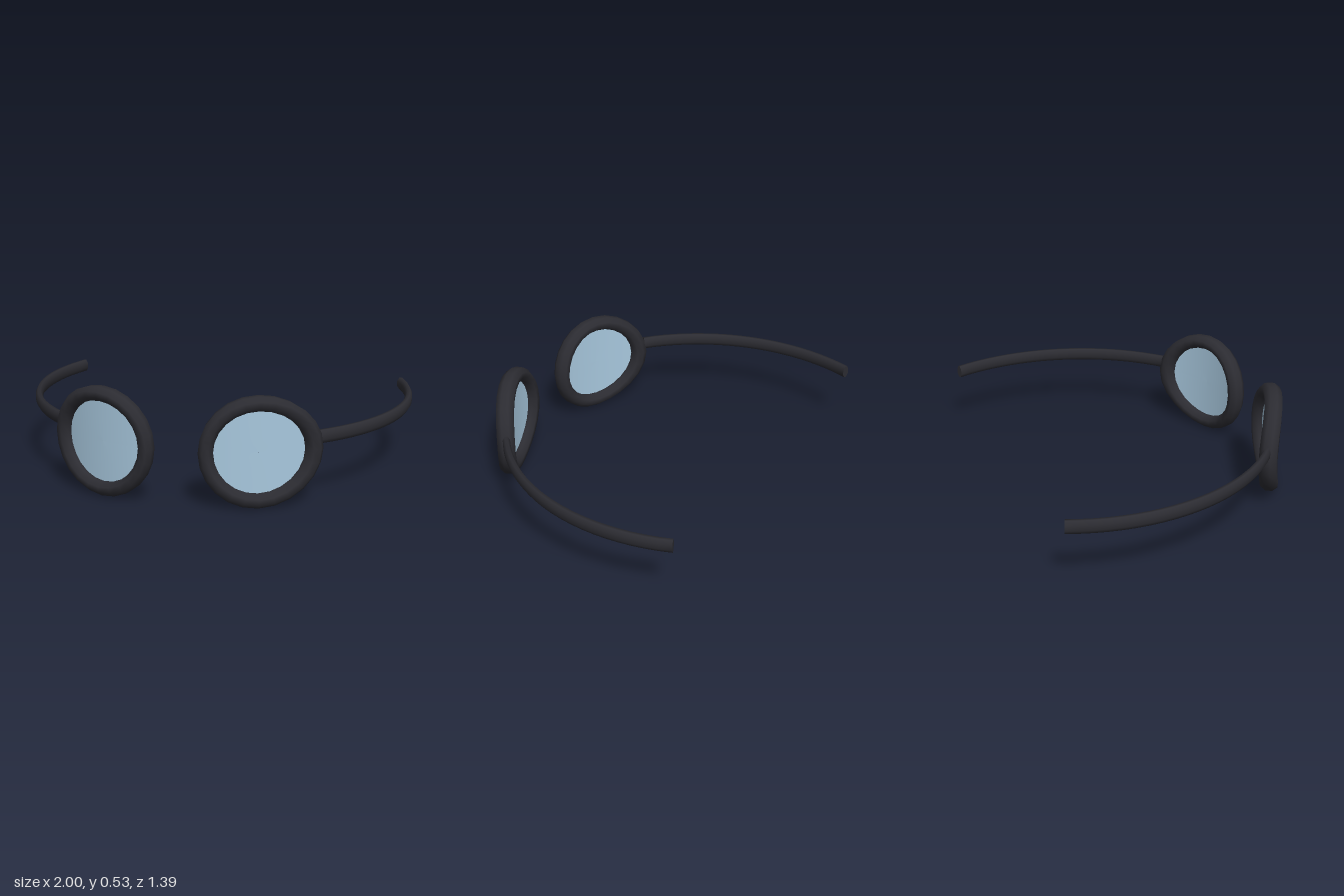
import * as THREE from 'three';

const R = 0.985;        // radius of the head curve that everything wraps around
const CENTRE_Z = -0.33; // centre of that curve
const SIDES = 8;        // sides of the tube sections

// Point on the head curve: angle from the front, height and distance from the axis
const wrap = (angle, y, r) => [r * Math.sin(angle), y, r * Math.cos(angle) + CENTRE_Z];

// Sweep an octagonal section; point(t, c, s) gives the surface at section cosine c and sine s
function sweep(point, steps, closed) {
  const pos = [], index = [];
  const rows = closed ? steps : steps + 1;
  const addRow = (i) => {
    for (let j = 0; j < SIDES; j++) {
      const b = ((j + 0.5) / SIDES) * Math.PI * 2;
      const k = 1 / Math.cos(Math.PI / SIDES);
      pos.push(...point(i / steps, k * Math.cos(b), k * Math.sin(b)));
    }
  };
  for (let i = 0; i < rows; i++) addRow(i);
  for (let i = 0; i < steps; i++) {
    const n = (i + 1) % rows;
    for (let j = 0; j < SIDES; j++) {
      const m = (j + 1) % SIDES;
      const a = i * SIDES + j, b = n * SIDES + j, c = n * SIDES + m, d = i * SIDES + m;
      index.push(a, b, c, a, c, d);
    }
  }
  if (!closed) {
    // flat end caps with their own vertices
    const start = rows * SIDES, end = start + SIDES;
    addRow(0);
    addRow(steps);
    for (let j = 1; j < SIDES - 1; j++) {
      index.push(start, start + j, start + j + 1);
      index.push(end, end + j + 1, end + j);
    }
  }
  const geo = new THREE.BufferGeometry();
  geo.setAttribute('position', new THREE.Float32BufferAttribute(pos, 3));
  geo.setIndex(index);
  geo.computeVertexNormals();
  return geo;
}

// Round rim, circular from the front and bent around the head curve
function rimGeometry(cx) {
  return sweep((t, c, s) => {
    const a = t * Math.PI * 2;
    const d = 0.233 + 0.034 * c;
    const x = cx + d * Math.cos(a);
    return wrap(Math.asin(x / R), 0.267 + d * Math.sin(a), R + 0.043 * s);
  }, 24, true);
}

// Thin curved lens
function lensGeometry(cx) {
  const geo = new THREE.RingGeometry(0.001, 0.22, 32, 6);
  const p = geo.attributes.position;
  for (let i = 0; i < p.count; i++) {
    const x = cx + p.getX(i);
    p.setXYZ(i, ...wrap(Math.asin(x / R), 0.267 + p.getY(i), R));
  }
  geo.computeVertexNormals();
  return geo;
}

// Curved side arm between two angles
function templeGeometry(from, to) {
  return sweep((t, c, s) =>
    wrap(from + (to - from) * t, 0.315 + 0.032 * s, 0.982 + 0.018 * c), 20, false);
}

export function createModel() {
  const frame = new THREE.MeshStandardMaterial({ color: 0x2c2c32 });
  frame.name = 'dark frame';
  const glass = new THREE.MeshStandardMaterial({ color: 0xa8c8de, side: THREE.DoubleSide });
  glass.name = 'pale blue glass';

  const group = new THREE.Group();
  group.name = 'glasses';
  const add = (name, geo, mat) => {
    const mesh = new THREE.Mesh(geo, mat);
    mesh.name = name;
    group.add(mesh);
  };

  const hinge = THREE.MathUtils.degToRad(39.8);
  const tip = THREE.MathUtils.degToRad(111.5);
  for (const [side, sign] of [['left', 1], ['right', -1]]) {
    const cx = sign * 0.374;
    add(side + 'Rim', rimGeometry(cx), frame);
    add(side + 'Lens', lensGeometry(cx), glass);
    add(side + 'Temple', sign > 0 ? templeGeometry(hinge, tip) : templeGeometry(-tip, -hinge), frame);
  }
  return group;
}
